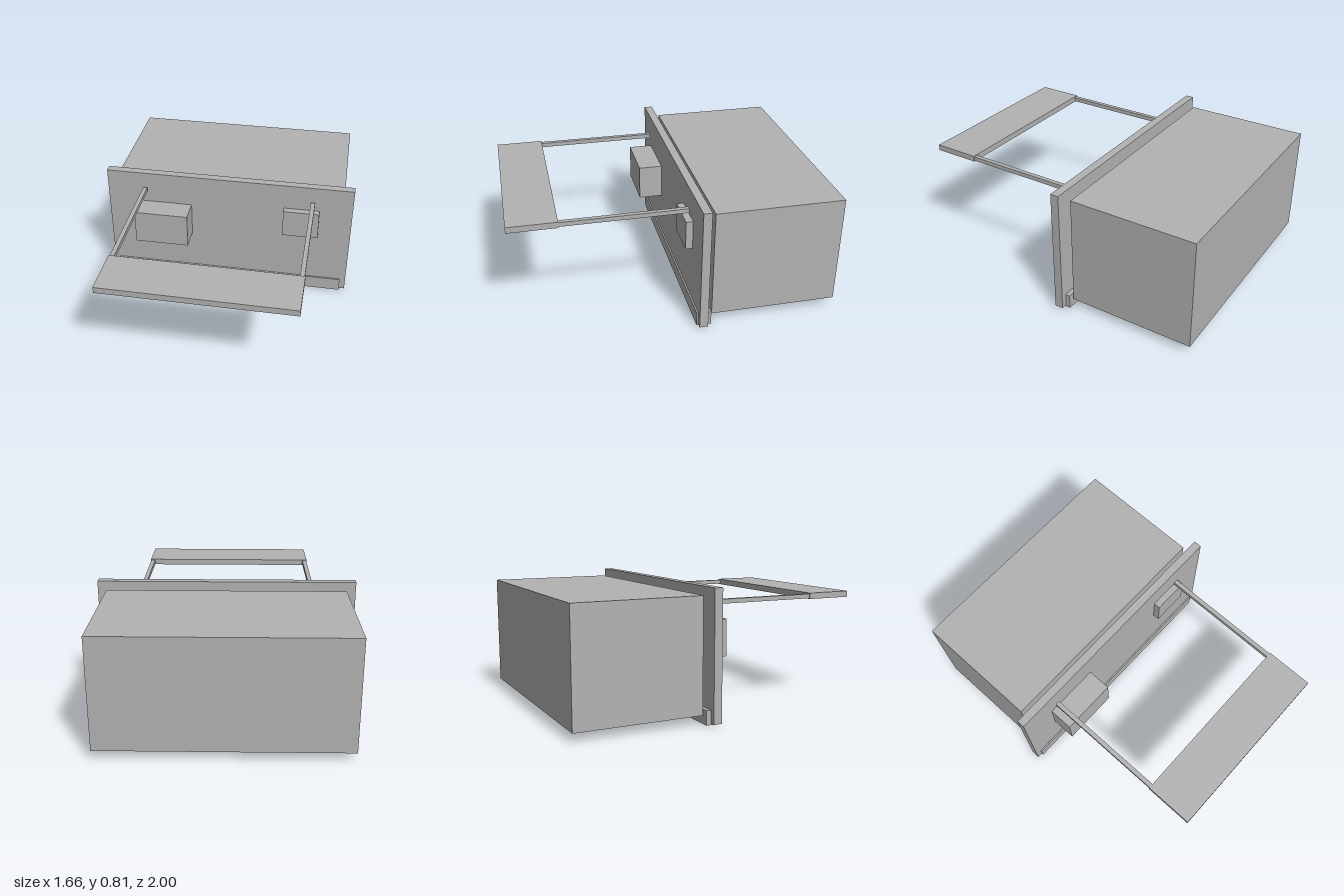
import * as THREE from 'three';

export function createModel() {
  const model = new THREE.Group();
  const grey = new THREE.MeshStandardMaterial({ color: 0xb2b2b2 });
  grey.name = 'grey';

  // Box spanning [min, max] on each axis
  function block(name, [x0, x1], [y0, y1], [z0, z1]) {
    const mesh = new THREE.Mesh(new THREE.BoxGeometry(x1 - x0, y1 - y0, z1 - z0), grey);
    mesh.position.set((x0 + x1) / 2, (y0 + y1) / 2, (z0 + z1) / 2);
    mesh.name = name;
    model.add(mesh);
  }

  // Main body behind the front panel
  block('body', [-0.767, 0.767], [0.056, 0.763], [-1, -0.196]);
  block('frontPanel', [-0.83, 0.83], [0.01, 0.81], [-0.157, -0.104]);
  block('baseRail', [-0.793, 0.793], [0, 0.09], [-0.186, -0.094]);

  // Boxes mounted on the panel
  block('largePanelBox', [-0.613, -0.253], [0.362, 0.593], [-0.104, 0.052]);
  block('smallPanelBox', [0.376, 0.614], [0.45, 0.638], [-0.104, -0.06]);

  // Shelf carried on two arms
  block('shelf', [-0.584, 0.584], [0.677, 0.716], [0.695, 1]);
  for (const [name, x] of [['leftArm', 0.566], ['rightArm', -0.566]]) {
    block(name, [x - 0.014, x + 0.014], [0.682, 0.71], [-0.087, 0.7]);
  }

  return model;
}
